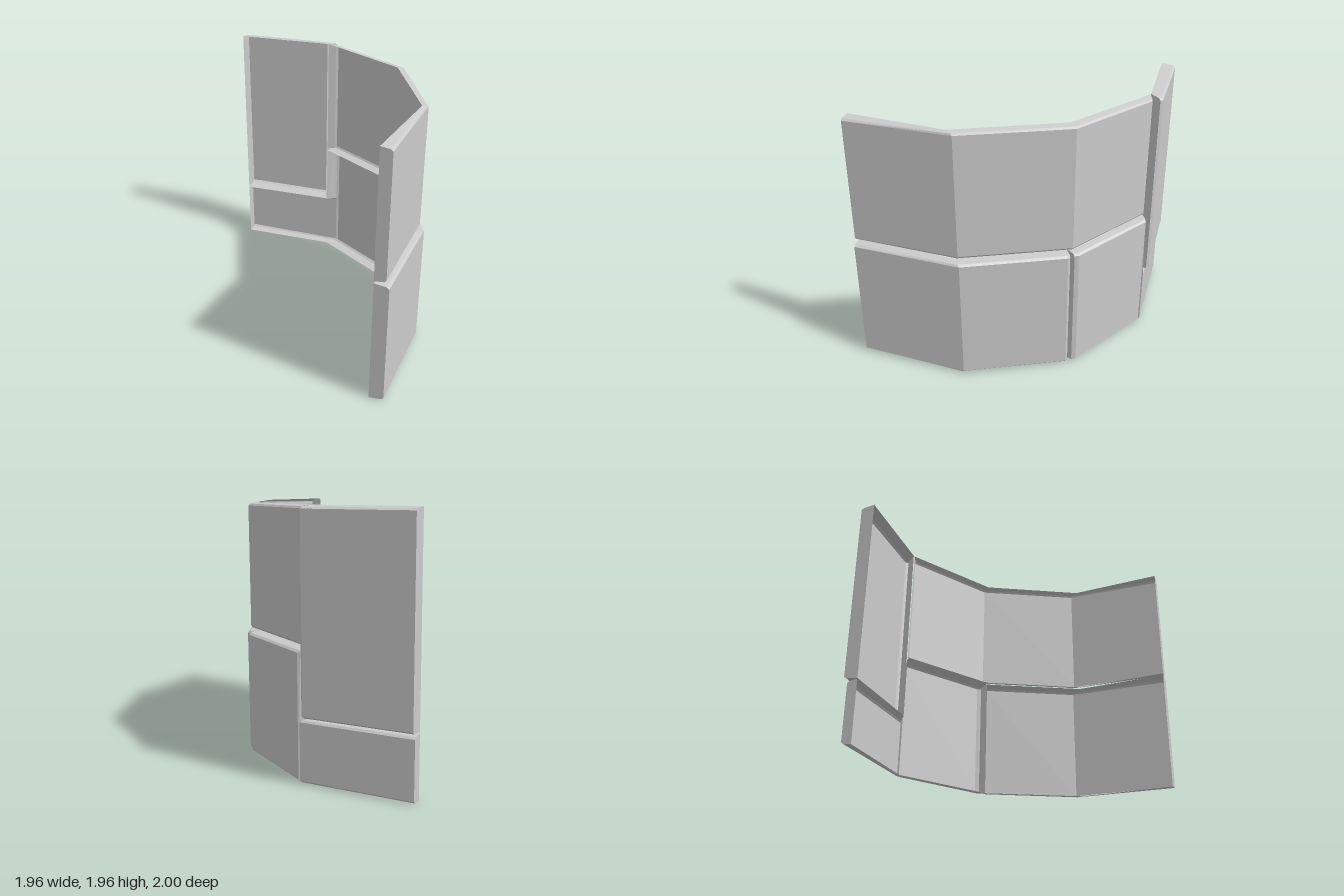
import * as THREE from 'three';

// Fraction of the depth at which the outer bevel starts, and its drops in height
const LIP = 0.83, SLOPE = 0.01, BEVEL = 0.024;

// Ring of six points around the slab at one plan station: inner, lip and outer edges
function ring({ i, o, y0, y1 }) {
  const at = (f, y) => new THREE.Vector3(i[0] + (o[0] - i[0]) * f, y, i[1] + (o[1] - i[1]) * f);
  return [
    at(0, y0), at(LIP, y0 + SLOPE), at(1, y0 + BEVEL),
    at(1, y1 - BEVEL), at(LIP, y1 - SLOPE), at(0, y1),
  ];
}

// Panel shell with an open inner side, skinned over the stations and capped at both ends
function panel(name, stations, material) {
  const rings = stations.map(ring);
  const pos = [];
  const tri = (a, b, c) => {
    const area = b.clone().sub(a).cross(c.clone().sub(a)).length();
    if (area > 1e-7) for (const p of [a, b, c]) pos.push(p.x, p.y, p.z);
  };
  for (let s = 0; s < rings.length - 1; s++) {
    const A = rings[s], B = rings[s + 1];
    for (let j = 0; j < 5; j++) {
      tri(A[j], A[j + 1], B[j]);
      tri(A[j + 1], B[j + 1], B[j]);
    }
  }
  const first = rings[0], last = rings[rings.length - 1];
  for (let j = 1; j < 5; j++) {
    tri(first[0], first[j + 1], first[j]);
    tri(last[0], last[j], last[j + 1]);
  }
  const geo = new THREE.BufferGeometry();
  geo.setAttribute('position', new THREE.Float32BufferAttribute(pos, 3));
  geo.computeVertexNormals();
  const mesh = new THREE.Mesh(geo, material);
  mesh.name = name;
  return mesh;
}

export function createModel() {
  const group = new THREE.Group();
  group.name = 'curvedPanelWall';
  const mat = new THREE.MeshStandardMaterial({ color: 0xcccccc, flatShading: true, side: THREE.DoubleSide });

  // Inner plan corners shared by the panels
  const P0 = [-0.985, -0.845], P1 = [-0.2, -0.9], P2 = [0.525, -0.5], P3 = [0.915, 0.24], P4 = [0.857, 1];
  const station = (y0, y1) => (i, o) => ({ i, o, y0, y1 });

  // Tall flat panel
  const tall = station(0.485, 1.957);
  group.add(panel('tallPanel', [
    tall(P0, [-0.985, -0.955]),
    tall([-0.215, -0.9], [-0.17, -1.0]),
    tall([-0.212, -0.9], [-0.152, -0.982]),
  ], mat));

  // Upper curved panel
  const upper = station(0.99, 1.957);
  group.add(panel('upperPanel', [
    upper(P1, [-0.14, -0.92]),
    upper([-0.197, -0.898], [-0.122, -0.93]),
    upper(P2, [0.565, -0.555]),
    upper(P3, [0.947, 0.18]),
    upper(P4, [0.943, 1]),
  ], mat));

  // Lower L-shaped panel, low under the tall one and full height beside it
  const low = station(0, 0.478), full = station(0, 0.974);
  group.add(panel('lowerCornerPanel', [
    low(P0, [-0.985, -0.925]),
    low(P1, [-0.125, -0.965]),
    full(P1, [-0.125, -0.95]),
    full([-0.197, -0.898], [-0.105, -0.957]),
    full([0.522, -0.502], [0.55, -0.6]),
    full(P2, [0.567, -0.57]),
  ], mat));

  // Lower side panel
  group.add(panel('lowerSidePanel', [
    full([0.53, -0.498], [0.588, -0.543]),
    full([0.533, -0.494], [0.612, -0.535]),
    full(P3, [0.977, 0.16]),
    full(P4, [0.966, 1]),
  ], mat));

  return group;
}
